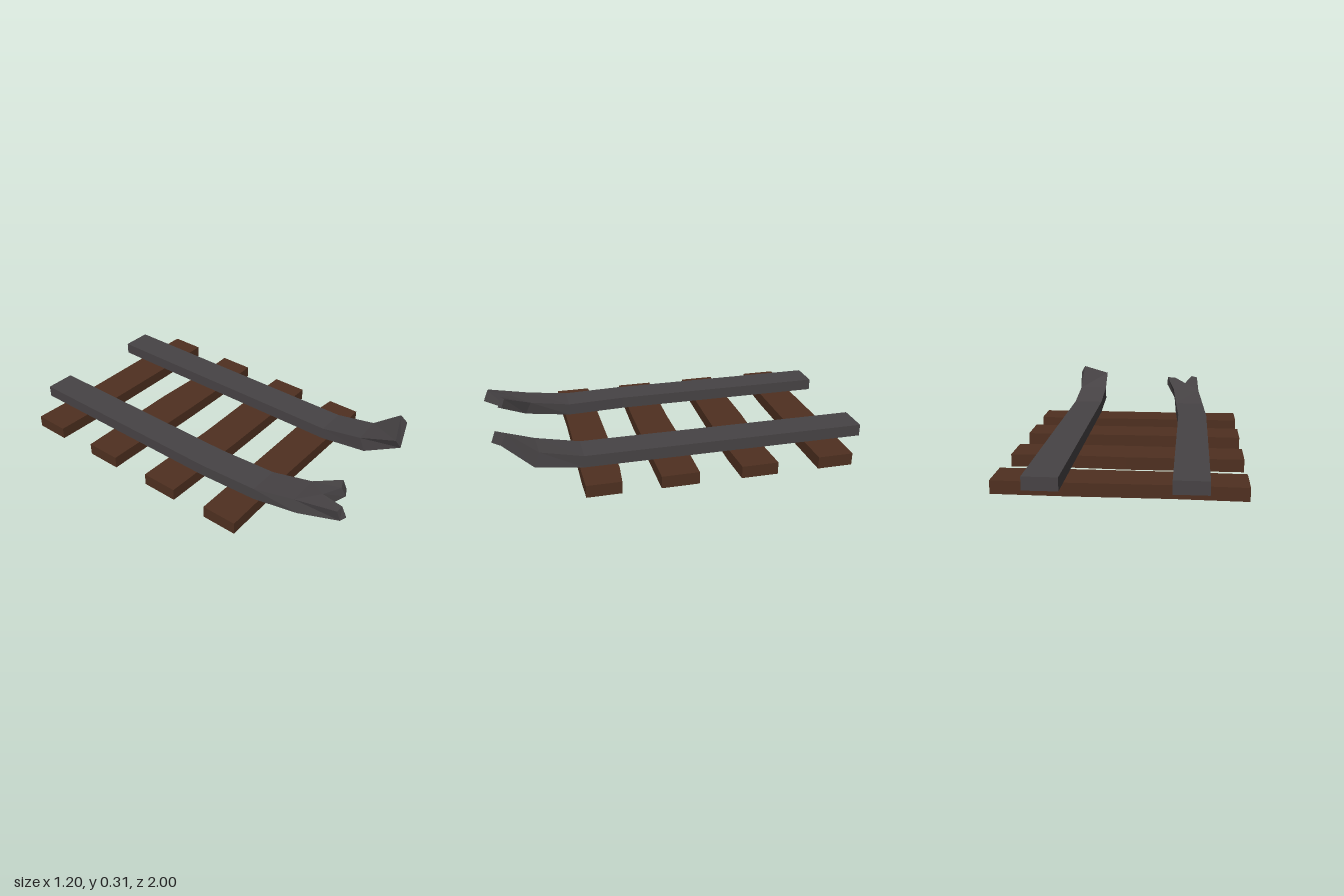
import * as THREE from 'three';

const wood = new THREE.MeshStandardMaterial({ color: 0x4f3020, flatShading: true, side: THREE.DoubleSide });
const iron = new THREE.MeshStandardMaterial({ color: 0x474345, flatShading: true, side: THREE.DoubleSide });

// Joins four-cornered sections (top left, top right, bottom right, bottom left).
// faces: t top, r right, b bottom, l left, s start cap, e end cap
function loft(sections, faces) {
  const pos = [];
  const quad = (a, b, c, d) => pos.push(...a, ...b, ...c, ...a, ...c, ...d);
  for (let i = 0; i < sections.length - 1; i++) {
    const a = sections[i], b = sections[i + 1];
    [...'trbl'].forEach((f, k) => {
      const n = (k + 1) % 4;
      if (faces.includes(f)) quad(b[k], b[n], a[n], a[k]);
    });
  }
  if (faces.includes('s')) quad(...sections[0]);
  if (faces.includes('e')) quad(...[...sections[sections.length - 1]].reverse());
  const geo = new THREE.BufferGeometry();
  geo.setAttribute('position', new THREE.Float32BufferAttribute(pos, 3));
  geo.computeVertexNormals();
  return geo;
}

// Upright rectangular rail section
const section = (x0, x1, y0, y1, z) => [[x0, y1, z], [x1, y1, z], [x1, y0, z], [x0, y0, z]];

function add(parent, name, material, geo) {
  const mesh = new THREE.Mesh(geo, material);
  mesh.name = name;
  parent.add(mesh);
}

export function createModel() {
  const model = new THREE.Group();
  model.name = 'brokenTrack';

  // Sleepers: hollow planks with slightly uneven edges, [x, back z, front z]
  const sleepers = [
    [[-0.6, -0.88, -0.685], [-0.25, -0.87, -0.675], [0.25, -0.875, -0.675], [0.595, -0.87, -0.68]],
    [[-0.6, -0.455, -0.26], [0, -0.46, -0.25], [0.4, -0.445, -0.25], [0.595, -0.455, -0.26]],
    [[-0.6, -0.04, 0.16], [-0.1, -0.03, 0.168], [0.25, -0.037, 0.165], [0.595, -0.035, 0.162]],
    [[-0.6, 0.36, 0.552], [-0.2, 0.355, 0.542], [0.45, 0.347, 0.543], [0.595, 0.36, 0.54]],
  ];
  const ties = new THREE.Group();
  ties.name = 'sleepers';
  model.add(ties);
  sleepers.forEach((rows, i) => {
    const secs = rows.map(([x, back, front]) => {
      const low = i === 3 && x === 0.45 ? 0 : 0.004;
      return [[x, 0.07, front], [x, 0.07, back], [x, low, back], [x, low, front]];
    });
    add(ties, 'sleeper' + (i + 1), wood, loft(secs, 'trlse'));
  });

  // Left rail: open-bottomed straight run, then a bent-up tip with a skewed end
  const left = new THREE.Group();
  left.name = 'leftRail';
  model.add(left);
  const leftBend = section(0.247, 0.415, 0.072, 0.137, 0.52);
  add(left, 'leftRailRun', iron, loft([section(0.247, 0.415, 0.072, 0.137, -1), leftBend], 'trls'));
  add(left, 'leftRailTip', iron, loft([
    leftBend,
    [[0.245, 0.183, 0.75], [0.41, 0.183, 0.74], [0.418, 0.108, 0.77], [0.247, 0.108, 0.78]],
    [[0.255, 0.25, 0.945], [0.405, 0.305, 0.89], [0.433, 0.255, 0.92], [0.28, 0.2, 0.967]],
  ], 'trble'));

  // Right rail: straight run curving inward, then a split tip
  const right = new THREE.Group();
  right.name = 'rightRail';
  model.add(right);
  const rightBend = section(-0.4, -0.232, 0.072, 0.137, 0.52);
  const root = [[-0.375, 0.175, 0.74], [-0.212, 0.18, 0.74], [-0.222, 0.11, 0.77], [-0.385, 0.11, 0.77]];
  const notchTop = [-0.285, 0.205, 0.845], notchLow = [-0.277, 0.115, 0.85];
  add(right, 'rightRailRun', iron, loft([
    section(-0.418, -0.253, 0.072, 0.137, -1),
    section(-0.418, -0.253, 0.072, 0.137, 0.2),
    rightBend,
  ], 'trls'));
  add(right, 'rightRailBend', iron, loft([rightBend, root], 'trbl'));
  add(right, 'splitRoot', iron, loft([root, [notchTop, notchTop, notchLow, notchLow]], 'tb'));
  add(right, 'outerProng', iron, loft([
    [root[0], notchTop, notchLow, root[3]],
    [[-0.365, 0.222, 0.97], [-0.328, 0.23, 0.975], [-0.322, 0.17, 1], [-0.355, 0.165, 0.985]],
  ], 'trble'));
  add(right, 'innerProng', iron, loft([
    [notchTop, root[1], root[2], notchLow],
    [[-0.217, 0.23, 0.905], [-0.167, 0.237, 0.885], [-0.162, 0.185, 0.905], [-0.2, 0.175, 0.925]],
  ], 'trble'));

  return model;
}
